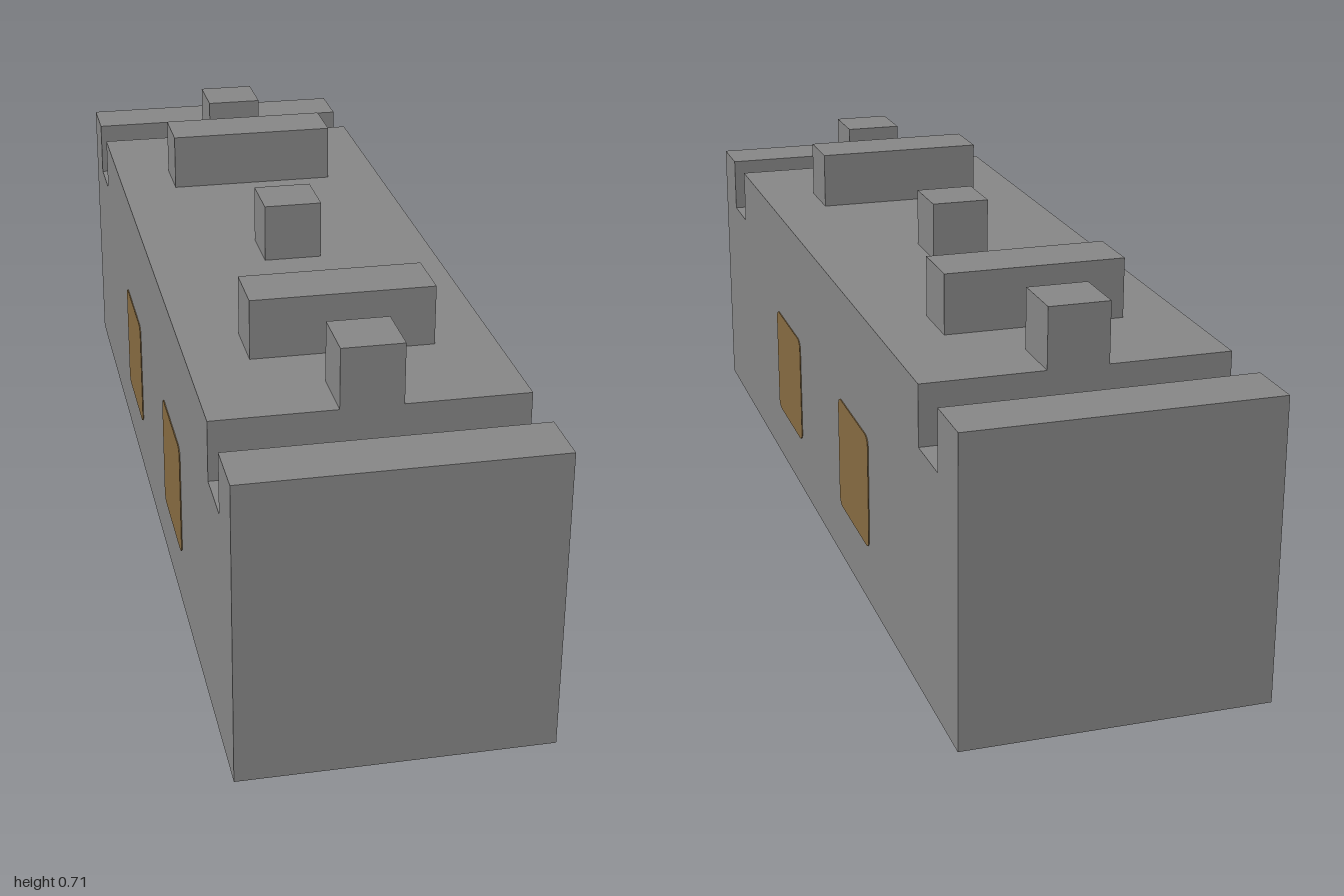
import * as THREE from 'three';

const U = 2 / 17; // modular unit: the block is 17 x 5 x 5 units

export function createModel() {
  const model = new THREE.Group();
  model.name = 'castellatedBlock';

  const stone = new THREE.MeshStandardMaterial({ color: 0x888888 });
  stone.name = 'grey stone';
  const amber = new THREE.MeshStandardMaterial({ color: 0x886c42 });
  amber.name = 'brown window';

  const add = (name, geometry, material, x, y, z) => {
    const mesh = new THREE.Mesh(geometry, material);
    mesh.name = name;
    mesh.position.set(x, y, z);
    model.add(mesh);
    return mesh;
  };

  // Body: side outline with a cross groove near each end, extruded across the width
  const outline = [
    [-8.5, 0], [8.5, 0], [8.5, 5], [7.5, 5], [7.5, 4], [6.5, 4], [6.5, 5],
    [-6.5, 5], [-6.5, 4], [-7.5, 4], [-7.5, 5], [-8.5, 5],
  ].map(([z, y]) => new THREE.Vector2(z * U, y * U));
  const body = new THREE.ExtrudeGeometry(new THREE.Shape(outline), { depth: 5 * U, bevelEnabled: false });
  body.translate(0, 0, -2.5 * U).rotateY(-Math.PI / 2);
  add('body', body, stone, 0, 0, 0);

  // Blocks on the roof
  const cube = new THREE.BoxGeometry(U, U, U);
  const bar = new THREE.BoxGeometry(3 * U, U, U);
  add('centreBlock', cube, stone, 0, 5.5 * U, 0);
  for (const side of [1, -1]) {
    const end = side > 0 ? 'front' : 'back';
    add(end + 'Bar', bar, stone, 0, 5.5 * U, side * 4 * U);
    add(end + 'Block', cube, stone, 0, 5.5 * U, side * 6 * U);
  }

  // Windows: thin square plates with small rounded corners
  const h = U, r = 0.02;
  const pane = new THREE.Shape();
  pane.absarc(h - r, h - r, r, 0, Math.PI / 2);
  pane.absarc(r - h, h - r, r, Math.PI / 2, Math.PI);
  pane.absarc(r - h, r - h, r, Math.PI, Math.PI * 1.5);
  pane.absarc(h - r, r - h, r, Math.PI * 1.5, Math.PI * 2);
  const windowPlate = new THREE.ExtrudeGeometry(pane, { depth: 0.004, bevelEnabled: false, curveSegments: 4 });
  windowPlate.translate(0, 0, -0.002).rotateY(Math.PI / 2);
  for (const x of [1, -1]) {
    for (const z of [1, -1]) {
      const name = (x > 0 ? 'left' : 'right') + (z > 0 ? 'Front' : 'Back') + 'Window';
      add(name, windowPlate, amber, x * 2.5 * U, 2 * U, z * 2.5 * U);
    }
  }

  return model;
}
